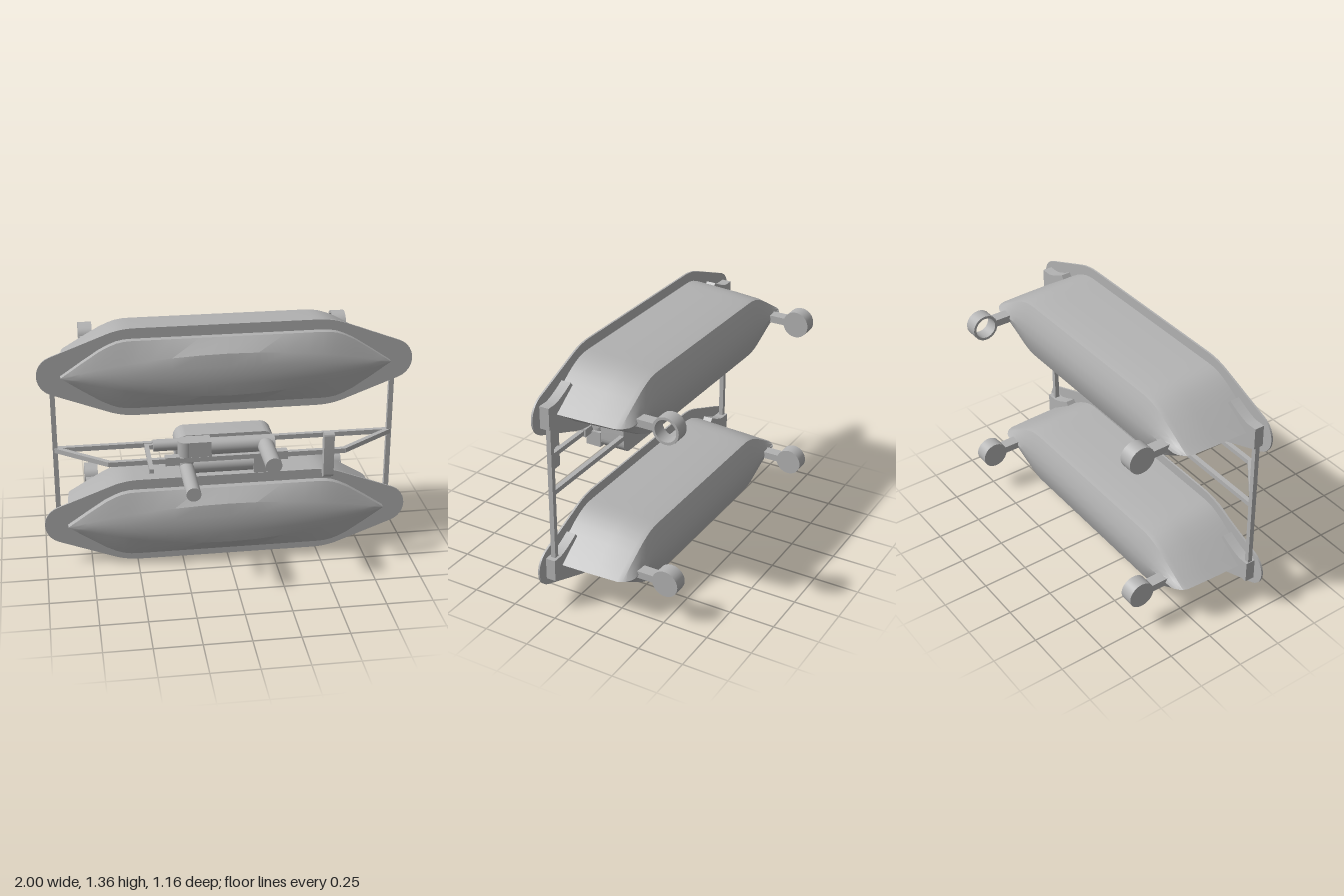
import * as THREE from 'three';
import { toCreasedNormals } from 'three/addons/utils/BufferGeometryUtils.js';

const grey = new THREE.MeshStandardMaterial({ color: 0xb2b2b2 });
grey.name = 'light grey';

function add(parent, name, geometry, x = 0, y = 0, z = 0) {
  const mesh = new THREE.Mesh(geometry, grey);
  mesh.name = name;
  mesh.position.set(x, y, z);
  parent.add(mesh);
  return mesh;
}

// Box given by its limits on each axis
function block(parent, name, [x0, x1], [y0, y1], [z0, z1]) {
  return add(parent, name, new THREE.BoxGeometry(x1 - x0, y1 - y0, z1 - z0),
    (x0 + x1) / 2, (y0 + y1) / 2, (z0 + z1) / 2);
}

// Square bar or round rod between two points
function bar(parent, name, from, to, size, round = false) {
  const a = new THREE.Vector3(...from), b = new THREE.Vector3(...to);
  const len = a.distanceTo(b);
  const geo = round ? new THREE.CylinderGeometry(size, size, len, 32).rotateX(Math.PI / 2)
    : new THREE.BoxGeometry(size, size, len);
  const mesh = add(parent, name, geo);
  mesh.position.copy(a).lerp(b, 0.5);
  mesh.lookAt(b);
  return mesh;
}

function extrude(shape, depth) {
  const geo = new THREE.ExtrudeGeometry(shape, { depth, bevelEnabled: false, curveSegments: 12 });
  return toCreasedNormals(geo, 0.5);
}

function roundedRect(w, h, r) {
  const s = new THREE.Shape(), x = w / 2 - r, y = h / 2 - r;
  s.absarc(x, y, r, 0, Math.PI / 2);
  s.absarc(-x, y, r, Math.PI / 2, Math.PI);
  s.absarc(-x, -y, r, Math.PI, Math.PI * 1.5);
  s.absarc(x, -y, r, Math.PI * 1.5, Math.PI * 2);
  return s;
}

// Pod: lengthwise stations, each a closed section from front ridge to rear ridge
function podGeometry() {
  const half = [[0, 1], [0.15, 1], [0.3, 1], [0.42, 1], [0.5, 1], [0.54, 0.99], [0.58, 0.95],
    [0.62, 0.87], [0.67, 0.735], [0.72, 0.56], [0.77, 0.385], [0.82, 0.2], [0.875, 0]];
  const stations = [...half.slice(1).reverse().map(([x, h]) => [-x, h]), ...half];
  const upper = (t, h) => {
    const b = 1 - t * t;
    return [
      [0.875, 0, 0.13 + 0.08 * b],
      [0.875, 0.05 * b, 0.13 + 0.078 * b],
      [0.875, Math.min(0.117 * b, 0.187 * h), 0.13 + 0.065 * b],
      [0.875, 0.187 * h, 0.13],
      [0.875, 0.187 * h, 0.07],
      [0.868, 0.175 * h, -0.15],
      [0.86, 0.163 * h, -0.29],
      [0.85, 0.158 * h, -0.315],
      [0.835, 0.115 * h, -0.332],
      [0.815, 0.06 * h, -0.347],
      [0.79, 0, -0.355],
    ];
  };
  const pos = [], index = [];
  let n = 0;
  for (const [x, h] of stations) {
    const t = x / 0.875, up = upper(t, h);
    const low = up.slice(1, -1).reverse().map(([w, y, z]) => [w, -y, z]);
    const ring = [...up, ...low];
    n = ring.length;
    for (const [w, y, z] of ring) pos.push(t * w, y, z);
  }
  for (let i = 0; i < stations.length - 1; i++) {
    for (let j = 0; j < n; j++) {
      const k = (j + 1) % n;
      const a = i * n + j, b = a + n, c = (i + 1) * n + k, d = i * n + k;
      index.push(a, b, c, a, c, d);
    }
  }
  const geo = new THREE.BufferGeometry();
  geo.setAttribute('position', new THREE.Float32BufferAttribute(pos, 3));
  geo.setIndex(index);
  return toCreasedNormals(geo, 0.42);
}

// Thin flange around the pod
function flangeGeometry() {
  const s = new THREE.Shape();
  s.moveTo(-0.48, -0.243);
  s.lineTo(0.48, -0.243);
  s.quadraticCurveTo(0.56, -0.243, 0.63, -0.217);
  s.lineTo(0.93, -0.103);
  s.bezierCurveTo(1.023, -0.065, 1.023, 0.065, 0.93, 0.103);
  s.lineTo(0.63, 0.217);
  s.quadraticCurveTo(0.56, 0.243, 0.48, 0.243);
  s.lineTo(-0.48, 0.243);
  s.quadraticCurveTo(-0.56, 0.243, -0.63, 0.217);
  s.lineTo(-0.93, 0.103);
  s.bezierCurveTo(-1.023, 0.065, -1.023, -0.065, -0.93, -0.103);
  s.lineTo(-0.63, -0.217);
  s.quadraticCurveTo(-0.56, -0.243, -0.48, -0.243);
  return extrude(s, 0.01);
}

// Forked bracket hugging the tip of a pod
function bracketGeometry() {
  const s = new THREE.Shape();
  s.moveTo(0.94, -0.06);
  s.lineTo(0.94, 0.06);
  s.lineTo(0.885, 0.06);
  s.quadraticCurveTo(0.84, 0.065, 0.745, 0.117);
  s.lineTo(0.725, 0.09);
  s.lineTo(0.85, 0);
  s.lineTo(0.725, -0.09);
  s.lineTo(0.745, -0.117);
  s.quadraticCurveTo(0.84, -0.065, 0.885, -0.06);
  return extrude(s, 0.055);
}

function pipe(parent, name, points, radius) {
  const path = new THREE.CurvePath();
  const [a, b, c] = points.map(p => new THREE.Vector3(...p));
  const r = 0.05;
  const p = b.clone().add(a.clone().sub(b).setLength(r));
  const q = b.clone().add(c.clone().sub(b).setLength(r));
  path.add(new THREE.LineCurve3(a, p));
  path.add(new THREE.QuadraticBezierCurve3(p, b, q));
  path.add(new THREE.LineCurve3(q, c));
  add(parent, name, new THREE.TubeGeometry(path, 60, radius, 28));
  // Closed outer end
  const cap = add(parent, name + 'Cap', new THREE.CircleGeometry(radius, 28), c.x, c.y, c.z);
  cap.lookAt(c.clone().multiplyScalar(2).sub(b));
}

export function createModel() {
  const model = new THREE.Group();
  const podGeo = podGeometry(), flangeGeo = flangeGeometry(), bracketGeo = bracketGeometry();

  // Two pods with flanges, end brackets and rear rollers
  [['upper', 1.117], ['lower', 0.247]].forEach(([level, y]) => {
    const unit = new THREE.Group();
    unit.name = level + 'PodUnit';
    unit.position.y = y;
    model.add(unit);
    add(unit, 'pod', podGeo);
    add(unit, 'flange', flangeGeo, 0, 0, 0.083);
    for (const side of [-1, 1]) {
      const bracket = add(unit, 'bracket', bracketGeo, 0, 0, 0.029);
      if (side < 0) {
        bracket.rotation.z = Math.PI;
      }
      const x = side * 0.72;
      block(unit, 'rollerStem', [x - 0.032, x + 0.032], [-0.02, 0.02], [-0.45, -0.33]);
      if (level === 'upper' && side > 0) {
        const ring = new THREE.Shape().absarc(0, 0, 0.073, 0, Math.PI * 2);
        ring.holes.push(new THREE.Path().absarc(0, 0, 0.059, 0, Math.PI * 2, true));
        add(unit, 'openRing', extrude(ring, 0.076).rotateY(Math.PI / 2), x - 0.038, 0, -0.509);
      } else {
        add(unit, 'roller', new THREE.CylinderGeometry(0.073, 0.073, 0.076, 40).rotateZ(Math.PI / 2),
          x, 0, -0.509);
      }
    }
  });

  // Frame: uprights, straight rear bar and bent front bar
  for (const x of [-0.922, 0.9]) {
    block(model, 'upright', [x - 0.013, x + 0.013], [0.24, 1.12], [0.043, 0.069]);
  }
  block(model, 'rearBar', [-0.91, 0.9], [0.67, 0.696], [0.043, 0.069]);
  block(model, 'frontBar', [-0.65, 0.605], [0.67, 0.696], [0.26, 0.286]);
  bar(model, 'slantBar', [-0.92, 0.683, 0.058], [-0.645, 0.683, 0.274], 0.026);
  bar(model, 'slantBar', [0.9, 0.683, 0.058], [0.6, 0.683, 0.274], 0.026);
  block(model, 'barClamp', [-0.355, -0.28], [0.66, 0.706], [0.25, 0.295]);
  block(model, 'barClamp', [0.22, 0.295], [0.66, 0.706], [0.25, 0.295]);

  // Central machine: rounded casing with two cross tubes
  add(model, 'casing', extrude(roundedRect(0.53, 0.195, 0.06), 0.145), -0.025, 0.683, 0.043);
  bar(model, 'upperTube', [-0.2, 0.735, 0.235], [0.23, 0.735, 0.235], 0.045, true);
  bar(model, 'lowerTube', [-0.24, 0.63, 0.235], [0.23, 0.63, 0.235], 0.044, true);
  block(model, 'casingNeck', [-0.2, 0.18], [0.61, 0.76], [0.17, 0.23]);
  block(model, 'upperBlock', [-0.24, -0.11], [0.69, 0.78], [0.195, 0.285]);
  block(model, 'lowerBlock', [0.115, 0.235], [0.587, 0.672], [0.195, 0.285]);

  // Forward pipes with elbows
  bar(model, 'leftRiser', [-0.24, 0.64, 0.24], [-0.24, 0.78, 0.24], 0.046, true);
  pipe(model, 'lowerPipe', [[-0.24, 0.75, 0.24], [-0.24, 0.627, 0.24], [-0.24, 0.627, 0.58]], 0.038);
  pipe(model, 'upperPipe', [[0.18, 0.6, 0.24], [0.18, 0.735, 0.24], [0.18, 0.735, 0.525]], 0.043);

  // Side motor with lever
  bar(model, 'leverHub', [-0.41, 0.733, 0.185], [-0.24, 0.733, 0.185], 0.032, true);
  block(model, 'leverAxle', [-0.455, -0.4], [0.718, 0.742], [0.175, 0.2]);
  block(model, 'lever', [-0.455, -0.433], [0.718, 0.742], [0.19, 0.49]);

  // Upright paddle with rounded ends on the front bar
  add(model, 'paddle', extrude(roundedRect(0.044, 0.26, 0.0215), 0.055).rotateY(Math.PI / 2),
    0.48, 0.685, 0.317);
  block(model, 'paddleMount', [0.495, 0.52], [0.672, 0.694], [0.28, 0.3]);

  return model;
}
